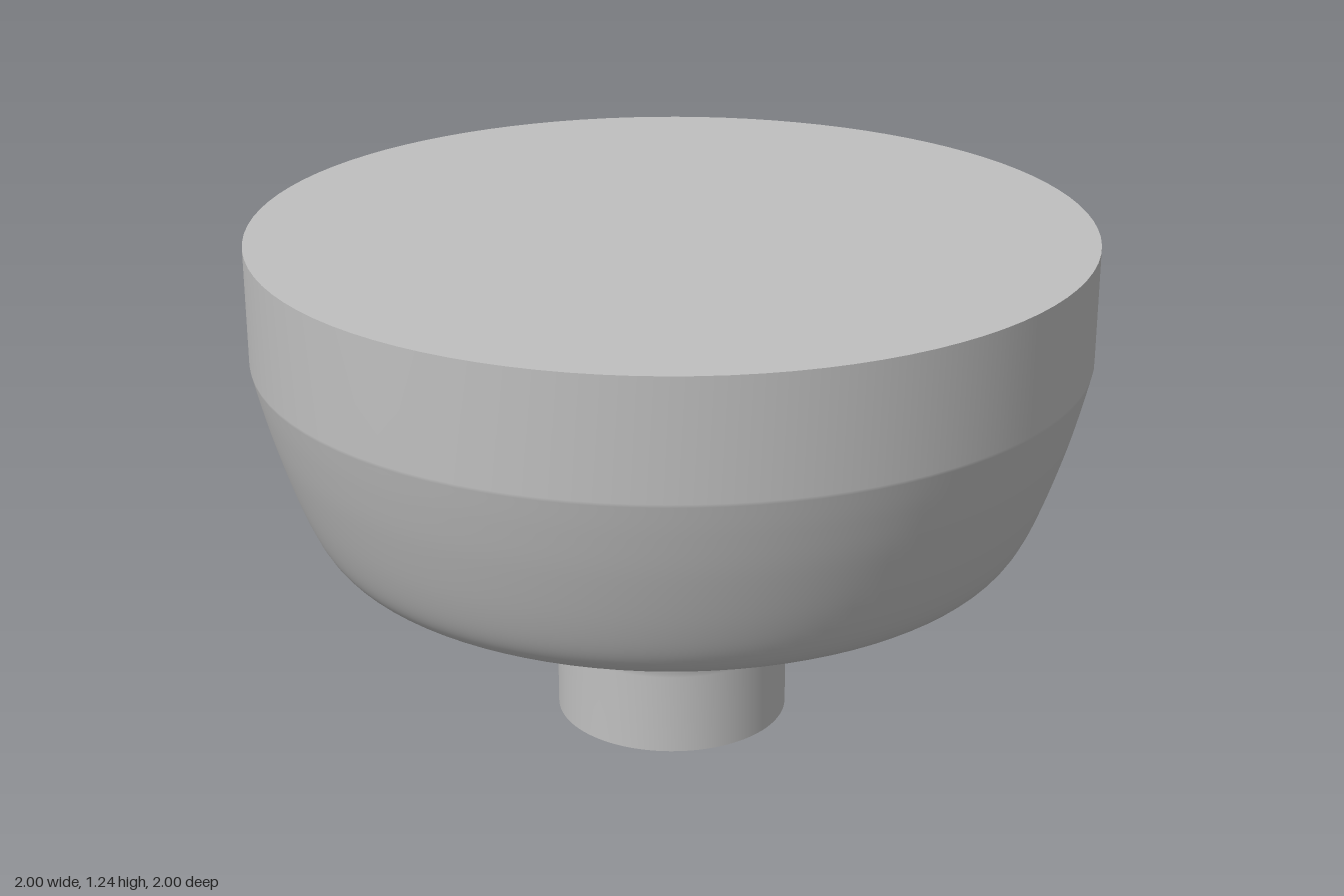
import * as THREE from 'three';

const SEGMENTS = 96;

// Smooth curve through a few [radius, height] points
function smooth(points, divisions) {
  return new THREE.SplineCurve(points.map(([r, y]) => new THREE.Vector2(r, y))).getPoints(divisions);
}

export function createModel() {
  const group = new THREE.Group();
  group.name = 'knob';
  const grey = new THREE.MeshStandardMaterial({ color: 0xc0c0c0 });
  grey.name = 'plain grey';

  const add = (name, geometry) => {
    const mesh = new THREE.Mesh(geometry, grey);
    mesh.name = name;
    group.add(mesh);
    return mesh;
  };
  const disc = (name, radius, y, turn) => {
    const mesh = add(name, new THREE.CircleGeometry(radius, SEGMENTS));
    mesh.rotation.x = turn;
    mesh.position.y = y;
  };

  // Straight shaft, flaring into the hollow under the head
  const flare = smooth([
    [0.285, 0.2], [0.302, 0.3], [0.325, 0.39], [0.355, 0.48],
    [0.395, 0.57], [0.44, 0.64], [0.48, 0.672], [0.52, 0.68],
  ], 40);
  add('stem', new THREE.LatheGeometry([new THREE.Vector2(0.285, 0), ...flare], SEGMENTS));

  // Sloping underside of the hollow, rounded lip and curved outer side
  const side = smooth([
    [0.52, 0.68], [0.57, 0.662], [0.62, 0.62], [0.68, 0.555], [0.73, 0.505],
    [0.785, 0.48], [0.825, 0.492], [0.865, 0.54], [0.905, 0.63],
    [0.95, 0.765], [0.98, 0.875], [1, 0.96],
  ], 72);
  add('head', new THREE.LatheGeometry([...side, new THREE.Vector2(1, 1.24)], SEGMENTS));

  // Flat ends
  disc('headTop', 1, 1.24, -Math.PI / 2);
  disc('stemBase', 0.285, 0, Math.PI / 2);

  return group;
}
